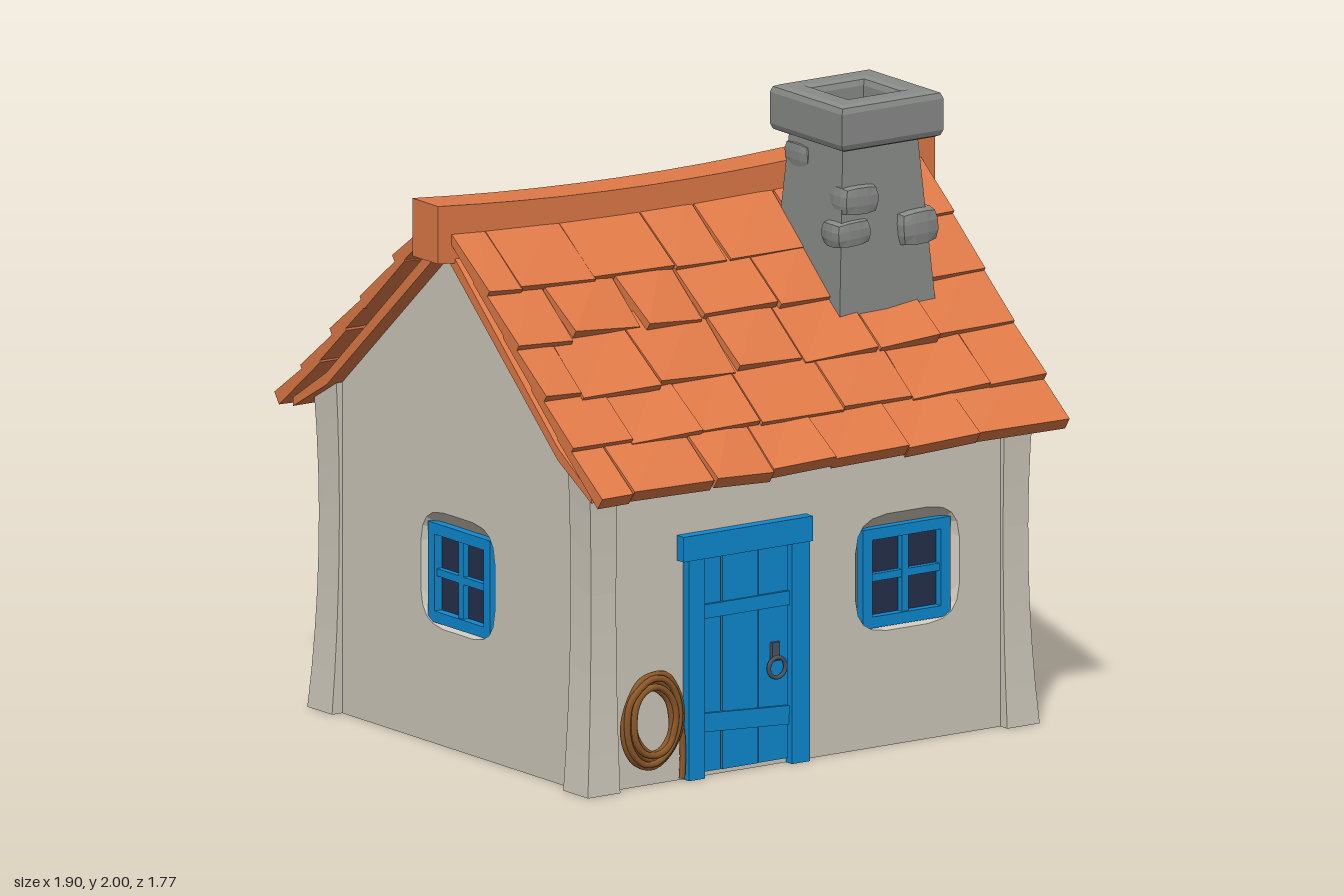
import * as THREE from 'three';

const paint = (name, color) => Object.assign(new THREE.MeshStandardMaterial({ color }), { name });

export function createModel() {
  const plaster = paint('plaster', 0xd0cabd), tileRed = paint('roofTile', 0xe07a48);
  const blue = paint('bluePaint', 0x0e8ad2), stone = paint('stone', 0x898b89);
  const glass = paint('glass', 0x25304a), ropeBrown = paint('rope', 0x8f5a2b), iron = paint('iron', 0x4a5560);

  let seed = 7;
  const rand = () => (seed = (seed * 16807) % 2147483647) / 2147483647;
  const jitter = (a) => (rand() * 2 - 1) * a;

  const house = new THREE.Group();
  house.name = 'cottage';
  const add = (parent, name, geo, mat, x = 0, y = 0, z = 0) => {
    const m = new THREE.Mesh(geo, mat);
    m.name = name;
    m.position.set(x, y, z);
    parent.add(m);
    return m;
  };
  const group = (parent, name) => {
    const g = new THREE.Group();
    g.name = name;
    parent.add(g);
    return g;
  };
  const box = (parent, name, mat, w, h, d, x, y, z) => add(parent, name, new THREE.BoxGeometry(w, h, d), mat, x, y, z);
  // moves every vertex by a rule, then gives it flat facets
  const bend = (geo, rule) => {
    const g = geo.index ? geo.toNonIndexed() : geo, p = g.attributes.position, v = new THREE.Vector3();
    for (let i = 0; i < p.count; i++) {
      v.fromBufferAttribute(p, i);
      rule(v);
      p.setXYZ(i, v.x, v.y, v.z);
    }
    g.computeVertexNormals();
    return g;
  };

  // rounded window opening outline
  const outline = (cx, cy, a, b, n = 4) => Array.from({ length: 20 }, (_, i) => {
    const t = (i / 20) * Math.PI * 2 + Math.PI / 20, c = Math.cos(t), s = Math.sin(t);
    return new THREE.Vector2(cx + a * Math.sign(c) * Math.abs(c) ** (2 / n), cy + b * Math.sign(s) * Math.abs(s) ** (2 / n));
  });

  // recessed window: splayed plaster reveal, glass, frame and cross bars
  function addWindow(wall, x, y) {
    const g = group(wall, 'window');
    g.position.set(x, y, 0);
    const outer = outline(0, 0.015, 0.2, 0.188), inner = outline(0, 0, 0.168, 0.158, 9), pos = [];
    outer.forEach((p, i) => {
      const j = (i + 1) % 20, q = outer[j], r = inner[i], s = inner[j];
      pos.push(p.x, p.y, 0, q.x, q.y, 0, s.x, s.y, -0.035, p.x, p.y, 0, s.x, s.y, -0.035, r.x, r.y, -0.035);
    });
    const reveal = new THREE.BufferGeometry();
    reveal.setAttribute('position', new THREE.Float32BufferAttribute(pos, 3));
    reveal.computeVertexNormals();
    add(g, 'reveal', reveal, plaster);
    box(g, 'glassPane', glass, 0.33, 0.31, 0.008, 0, 0, -0.036);
    for (const s of [-1, 1]) {
      box(g, 'frameSide', blue, 0.036, 0.318, 0.035, s * 0.149, 0, -0.022);
      box(g, 'frameRail', blue, 0.264, 0.036, 0.035, 0, s * 0.141, -0.022);
    }
    box(g, 'uprightBar', blue, 0.026, 0.26, 0.024, 0, 0, -0.024);
    box(g, 'crossBar', blue, 0.27, 0.024, 0.022, 0, 0, -0.024);
  }

  // wall panels, outer face on local z = 0
  function addWall(name, points, windows, x, z, turn) {
    const g = group(house, name);
    g.position.set(x, 0, z);
    g.rotation.y = turn;
    const shape = new THREE.Shape(points.map(([a, b]) => new THREE.Vector2(a, b)));
    windows.forEach(([wx, wy]) => shape.holes.push(new THREE.Path(outline(wx, wy + 0.015, 0.2, 0.188))));
    const geo = new THREE.ExtrudeGeometry(shape, { depth: 0.06, bevelEnabled: false });
    add(g, 'plasterPanel', geo.translate(0, 0, -0.06), plaster);
    windows.forEach(([wx, wy]) => addWindow(g, wx, wy));
  }
  const longWall = [[-0.82, 0], [0.82, 0], [0.82, 1.03], [-0.82, 1.03]];
  const gable = [[-0.71, 0], [0.71, 0], [0.71, 1.02], [0.62, 1.07], [0, 1.63], [-0.62, 1.07], [-0.71, 1.02]];
  addWall('frontWall', longWall, [[0.385, 0.54]], 0, 0.715, 0);
  addWall('backWall', longWall, [[-0.41, 0.54], [0.41, 0.54]], 0, -0.715, Math.PI);
  addWall('rightWall', gable, [[0, 0.545]], 0.825, 0, Math.PI / 2);
  addWall('leftWall', gable, [[0, 0.545]], -0.825, 0, -Math.PI / 2);
  box(house, 'floor', plaster, 1.63, 0.02, 1.42, 0, 0.011, 0);

  // corner posts, narrowed at mid height
  for (const sx of [-1, 1]) for (const sz of [-1, 1]) {
    const geo = bend(new THREE.BoxGeometry(1, 1, 1, 1, 8, 1), (v) => {
      const t = v.y + 0.5, flare = 0.028 * ((t - 0.6) / 0.6) ** 2;
      const outX = v.x * sx > 0, outZ = v.z * sz > 0;
      v.x = sx * (outX ? 0.836 + flare : 0.74);
      v.z = sz * (outZ ? 0.73 + flare * 0.8 : 0.62);
      v.y = t * (outZ ? 1.02 : 1.075);
    });
    add(house, 'cornerPost', geo, plaster);
  }

  // roof deck under the tiles
  const roof = group(house, 'roof');
  const under = [[0.8, 0.957], [0.62, 1.06], [0, 1.615]];
  const deck = new THREE.Shape([
    ...under, [-0.62, 1.06], [-0.8, 0.957], [-0.8, 0.985], [-0.62, 1.1], [0, 1.66], [0.62, 1.1], [0.8, 0.985],
  ].map(([a, b]) => new THREE.Vector2(a, b)));
  const deckGeo = new THREE.ExtrudeGeometry(deck, { depth: 1.77, bevelEnabled: false });
  add(roof, 'roofDeck', deckGeo.translate(0, 0, -0.885).rotateY(Math.PI / 2), tileRed);

  // five overlapping rows of uneven tiles on each slope
  const rows = [[0.872, 0.988], [0.733, 1.117], [0.58, 1.257], [0.42, 1.4], [0.26, 1.537]];
  for (const turn of [0, Math.PI]) {
    const slope = group(roof, turn ? 'backSlope' : 'frontSlope');
    slope.rotation.y = turn;
    rows.forEach(([z0, y0], r) => {
      const cuts = [-0.9];
      for (let x = -0.9 + (r % 2 ? 0.24 : 0.145) + jitter(0.02); x < 0.74; x += 0.2 + rand() * 0.12) cuts.push(x);
      cuts.push(0.9);
      for (let i = 0; i < cuts.length - 1; i++) {
        const a = cuts[i] + 0.002, b = cuts[i + 1] - 0.002, dz = jitter(0.012), lift = jitter(0.007);
        const skew = jitter(0.008), taper = jitter(0.008);
        const geo = bend(new THREE.BoxGeometry(1, 1, 1), (v) => {
          const end = v.z > 0, right = v.x > 0, low = v.y < 0;
          const x = right ? b : a, k = right ? skew : -skew;
          const sag = 0.03 * (r / 4) * (1 - (x / 0.9) ** 2);
          v.x = Math.abs(x) > 0.89 || !end ? x : x + taper * (right ? -1 : 1);
          v.z = end ? z0 + dz + k : z0 - 0.235;
          v.y = y0 - sag + (end ? lift - dz * 0.7 + k : 0.172);
          if (low) { v.y -= end ? 0.036 : 0.03; v.z -= end ? 0.025 : 0; }
        });
        add(slope, 'roofTile', geo, tileRed);
      }
    });
  }

  // sagging ridge beam
  add(roof, 'ridge', bend(new THREE.BoxGeometry(1.9, 0.185, 0.138, 12, 1, 1), (v) => {
    v.y += 1.682 - 0.045 * (1 - (v.x / 0.95) ** 2);
  }), tileRed);

  // chimney: tapered shaft, stones and hollow cap
  const chimney = group(house, 'chimney');
  const shaft = new THREE.CylinderGeometry(0.142 * Math.SQRT2, 0.187 * Math.SQRT2, 0.6, 4).rotateY(Math.PI / 4);
  add(chimney, 'shaft', bend(shaft, () => {}), stone, 0.485, 1.57, 0.285);
  const square = (h) => [[-h, -h], [h, -h], [h, h], [-h, h]].map(([a, b]) => new THREE.Vector2(a, b));
  const block = (w, h, d) => bend(new THREE.BoxGeometry(w, h, d, 3, 3, 3), (v) => {
    // pull edges in to round the stone
    const e = (Math.abs(v.x) > w * 0.4) + (Math.abs(v.y) > h * 0.4) + (Math.abs(v.z) > d * 0.4);
    if (e > 1) v.multiplyScalar(e > 2 ? 0.84 : 0.93);
  });
  const cap = new THREE.Shape(square(0.17));
  cap.holes.push(new THREE.Path(square(0.118)));
  const capGeo = new THREE.ExtrudeGeometry(cap, { depth: 0.1, bevelThickness: 0.025, bevelSize: 0.024, bevelSegments: 2 });
  add(chimney, 'cap', capGeo.rotateX(-Math.PI / 2), stone, 0.49, 1.875, 0.295);
  [[0.39, 1.683, 0.42, 0.13, 0.09, 0.1], [0.36, 1.58, 0.42, 0.13, 0.08, 0.1], [0.605, 1.57, 0.415, 0.14, 0.11, 0.14],
    [0.375, 1.785, 0.19, 0.09, 0.08, 0.13]].forEach(([x, y, z, w, h, d]) => {
    add(chimney, 'chimneyStone', block(w, h, d), stone, x, y, z).rotation.z = jitter(0.08);
  });

  // door: frame, planks, rails and ring handle
  const door = group(house, 'door');
  box(door, 'lintel', blue, 0.495, 0.08, 0.06, -0.25, 0.745, 0.722);
  box(door, 'leftJamb', blue, 0.062, 0.71, 0.05, -0.443, 0.355, 0.722);
  box(door, 'rightJamb', blue, 0.07, 0.71, 0.05, -0.045, 0.355, 0.722);
  [[-0.41, -0.335], [-0.331, -0.195], [-0.191, -0.078]].forEach(([a, b], i) =>
    box(door, 'plank', blue, b - a, 0.69, 0.02, (a + b) / 2, 0.36, 0.713 + (i % 2) * 0.003));
  box(door, 'topRail', blue, 0.33, 0.045, 0.03, -0.245, 0.53, 0.718);
  box(door, 'bottomRail', blue, 0.33, 0.06, 0.03, -0.245, 0.165, 0.718).rotation.z = -0.06;
  box(door, 'handlePlate', iron, 0.03, 0.06, 0.012, -0.132, 0.365, 0.73);
  add(door, 'handleRing', new THREE.TorusGeometry(0.032, 0.007, 8, 20), iron, -0.13, 0.315, 0.738);

  // coiled rope leaning on the wall
  const rope = group(house, 'ropeCoil');
  [[0.108, 0.148, 0], [0.1, 0.136, 0.012], [0.09, 0.124, 0.002], [0.08, 0.112, 0.014], [0.074, 0.106, 0.004]].forEach(([a, b, dz], i) => {
    const ring = new THREE.CatmullRomCurve3(Array.from({ length: 14 }, (_, k) => {
      const t = (k / 14) * Math.PI * 2;
      return new THREE.Vector3(a * Math.cos(t) + jitter(0.003), b * Math.sin(t) + jitter(0.003), 0);
    }), true);
    add(rope, 'ropeLoop', new THREE.TubeGeometry(ring, 36, 0.011, 6, true), ropeBrown, -0.61 + jitter(0.004), 0.212, 0.74 + dz).rotation.z = 0.08 * (i - 2);
  });
  const tail = new THREE.CatmullRomCurve3([[-0.515, 0.28], [-0.495, 0.18], [-0.488, 0.09], [-0.492, 0.01]]
    .map(([x, y]) => new THREE.Vector3(x, y, 0.735)));
  add(rope, 'ropeTail', new THREE.TubeGeometry(tail, 12, 0.01, 6), ropeBrown);

  return house;
}
